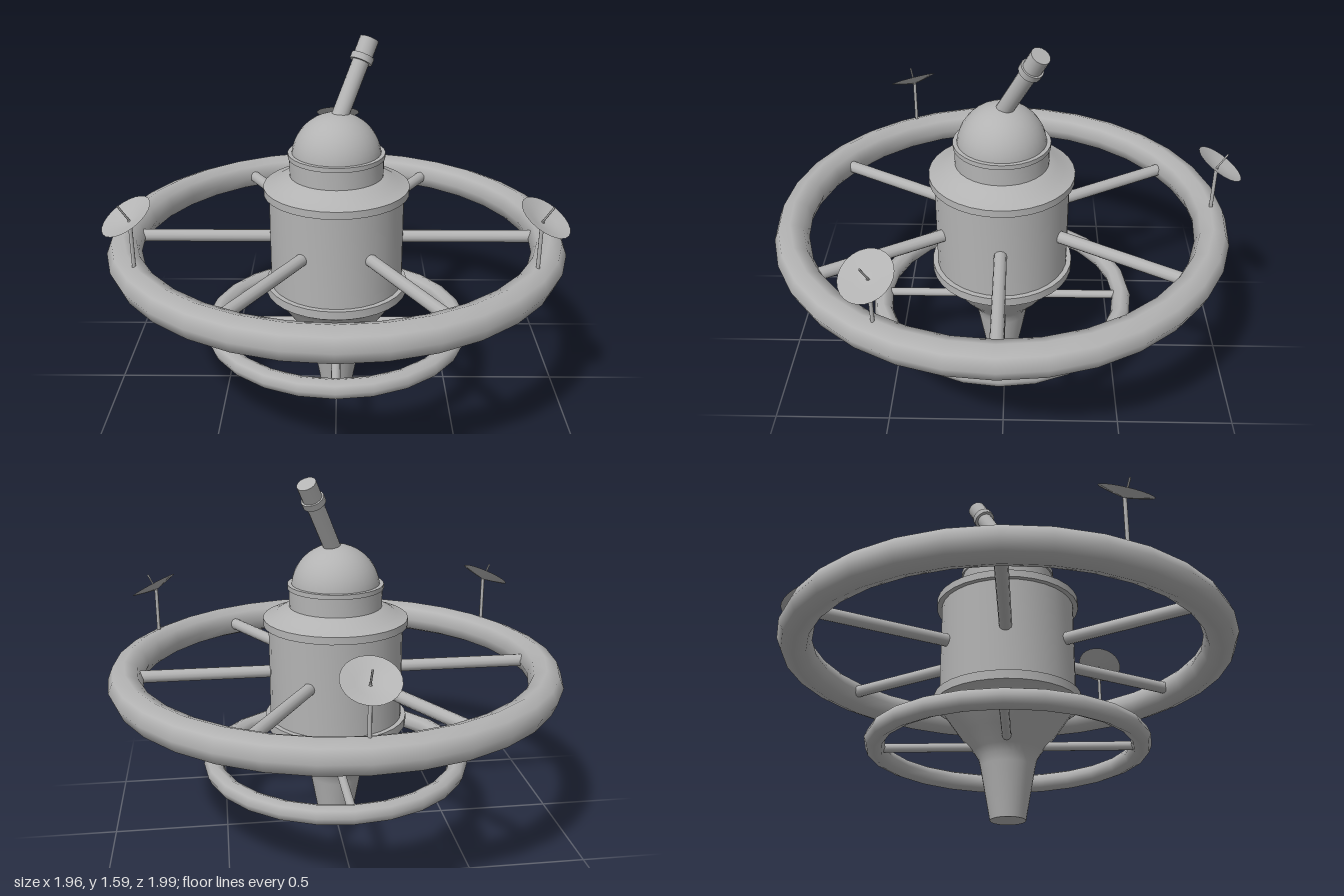
import * as THREE from 'three';
import { toCreasedNormals } from 'three/addons/utils/BufferGeometryUtils.js';

export function createModel() {
  const model = new THREE.Group();
  model.name = 'spaceStation';
  const grey = new THREE.MeshStandardMaterial({ color: 0xb3b3b3 });
  grey.name = 'hull grey';
  grey.side = THREE.DoubleSide;

  const add = (parent, name, geometry) => {
    const mesh = new THREE.Mesh(geometry, grey);
    mesh.name = name;
    parent.add(mesh);
    return mesh;
  };
  const lathe = (points, segments) => toCreasedNormals(
    new THREE.LatheGeometry(points.map(([r, y]) => new THREE.Vector2(r, y)), segments), 0.5);

  // The station axis sits slightly forward
  const station = new THREE.Group();
  station.name = 'station';
  station.position.z = 0.015;
  model.add(station);

  // Hull: tapered tail, flared shoulder, two rims, neck
  add(station, 'hull', lathe([
    [0, 0], [0.073, 0], [0.113, 0.22], [0.121, 0.255], [0.14, 0.285], [0.195, 0.35],
    [0.255, 0.435], [0.275, 0.463], [0.312, 0.487], [0.312, 0.525], [0.29, 0.525],
    [0.29, 0.942], [0.312, 0.942], [0.312, 0.974], [0.265, 0.99], [0.235, 1.008],
    [0.205, 1.02], [0.2, 1.022], [0.2, 1.1], [0.206, 1.1], [0.206, 1.12], [0.18, 1.12],
  ], 32));

  // Observatory dome
  const dome = add(station, 'dome',
    new THREE.SphereGeometry(0.19, 32, 12, 0, Math.PI * 2, 0, Math.PI / 2));
  dome.position.y = 1.098;

  // Telescope leaning to the left and back
  const telescope = new THREE.Group();
  telescope.name = 'telescope';
  const base = new THREE.Vector3(0, 1.24, 0.005);
  const lean = new THREE.Vector3(0.136, 1.563, -0.152).sub(base);
  const length = lean.length();
  telescope.position.copy(base);
  telescope.quaternion.setFromUnitVectors(new THREE.Vector3(0, 1, 0), lean.normalize());
  station.add(telescope);
  const c = length * 0.77;
  add(telescope, 'telescopeTube', lathe([
    [0, -0.06], [0.036, -0.06], [0.036, c - 0.014], [0.049, c - 0.014], [0.049, c + 0.014],
    [0.041, c + 0.014], [0.041, length], [0, length],
  ], 16));

  // Wheels: a ring with evenly spaced spokes
  const wheel = (name, y, R, r, segments, spokes, spokeR, from, to) => {
    const group = new THREE.Group();
    group.name = name;
    group.position.y = y;
    station.add(group);
    add(group, name + 'Rim', new THREE.TorusGeometry(R, r, 8, segments).rotateX(Math.PI / 2));
    for (let i = 0; i < spokes; i++) {
      const spoke = new THREE.CylinderGeometry(spokeR, spokeR, to - from, 12);
      spoke.rotateZ(Math.PI / 2).translate((from + to) / 2, 0, 0);
      add(group, name + 'Spoke', spoke).rotation.y = (i / spokes) * Math.PI * 2;
    }
  };
  wheel('mainWheel', 0.733, 0.906, 0.073, 32, 6, 0.027, 0.26, 0.845);
  wheel('lowerWheel', 0.309, 0.551, 0.042, 24, 4, 0.019, 0.1, 0.52);

  // Three antennas on the main wheel, each dish tilted outward
  for (let i = 0; i < 3; i++) {
    const antenna = new THREE.Group();
    antenna.name = 'antenna';
    antenna.rotation.y = Math.PI + (i * Math.PI * 2) / 3;
    station.add(antenna);
    const mast = add(antenna, 'mast', new THREE.CylinderGeometry(0.008, 0.008, 0.21, 8));
    mast.position.set(0, 0.893, 0.906);
    const head = new THREE.Group();
    head.name = 'dishHead';
    head.position.set(0, 0.996, 0.906);
    head.rotation.x = THREE.MathUtils.degToRad(31);
    antenna.add(head);
    add(head, 'dish', lathe([[0, 0], [0.055, 0.012], [0.109, 0.026]], 24));
    add(head, 'feedRod', new THREE.CylinderGeometry(0.004, 0.004, 0.08, 6).translate(0, 0.04, 0));
  }
  return model;
}
